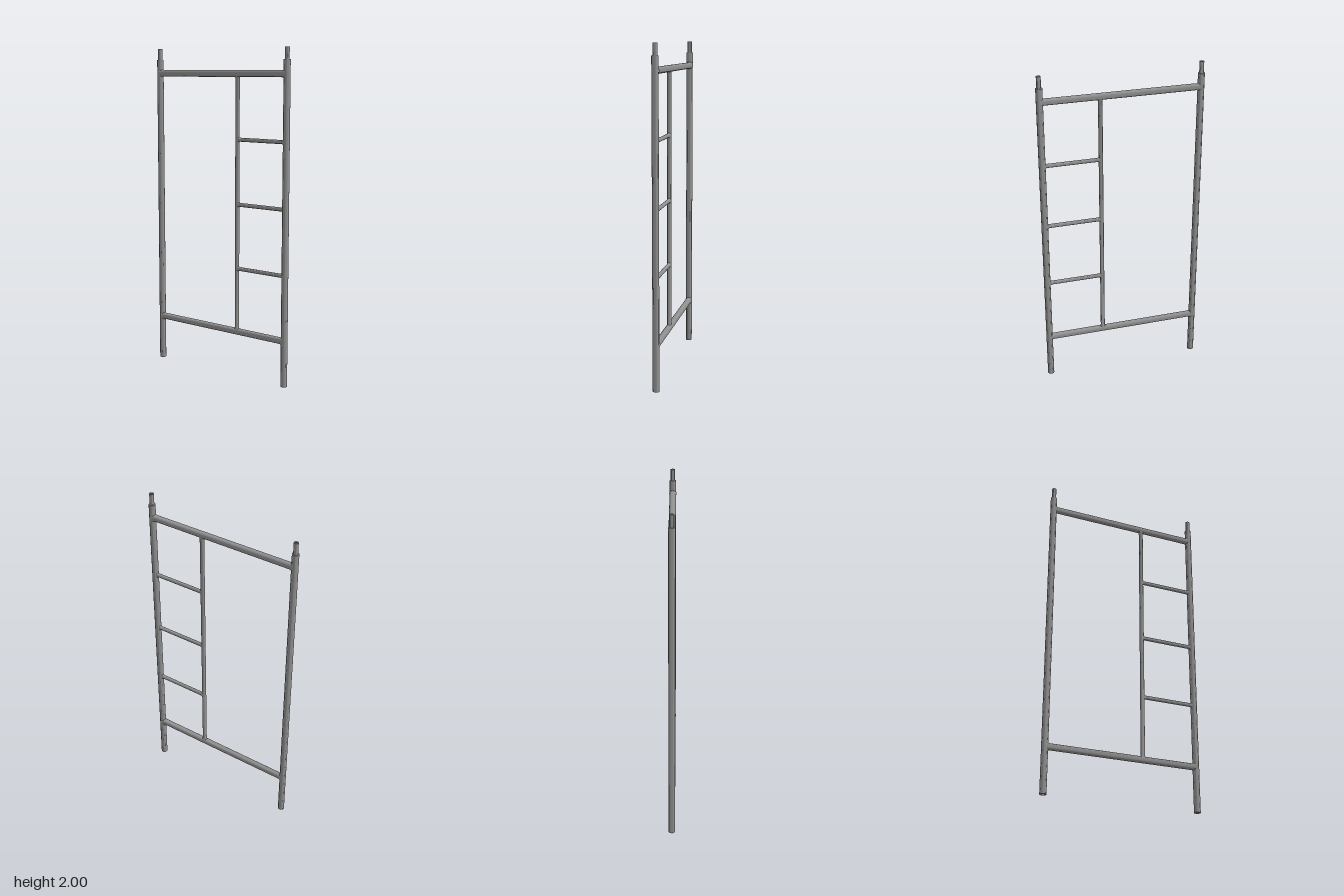
import * as THREE from 'three';
import { toCreasedNormals } from 'three/addons/utils/BufferGeometryUtils.js';

const material = new THREE.MeshStandardMaterial({ color: 0x909090 });
const POST_Z = 0.48, POST_R = 0.02, RAIL_R = 0.02, THIN_R = 0.013;
const RAIL_TOP = 1.848, RAIL_LOW = 0.278, INNER_Z = 0.129;

const lathe = (points, segments) =>
  new THREE.LatheGeometry(points.map(([r, y]) => new THREE.Vector2(r, y)), segments);

function addMesh(group, name, geometry) {
  const mesh = new THREE.Mesh(toCreasedNormals(geometry, 0.7), material);
  mesh.name = name;
  group.add(mesh);
  return mesh;
}

// Bar along local y between two host axes, its ends coped to the round
// hosts (radii hostA below, hostB above) and flared into a weld bead.
function weldedBar(r, length, hostA, hostB) {
  const weld = [[r + 0.003, 0], [r + 0.0015, 0.003], [r, 0.008]];
  const points = [
    ...weld.map(([x, d]) => [x, d - 1]),
    ...weld.map(([x, d]) => [x, 1 - d]).reverse(),
  ];
  const geometry = lathe(points, 24);
  const p = geometry.attributes.position;
  for (let i = 0; i < p.count; i++) {
    const side = Math.sign(p.getY(i));
    const fromEnd = 1 - Math.abs(p.getY(i));
    const host = side < 0 ? hostA : hostB;
    const saddle = Math.sqrt(Math.max(0, host * host - p.getX(i) ** 2));
    p.setY(i, side * (length / 2 - saddle - fromEnd));
  }
  geometry.computeVertexNormals();
  return geometry;
}

// Horizontal bar between z0 and z1
function addCrossBar(group, name, r, y, z0, z1, host0, host1) {
  const bar = addMesh(group, name, weldedBar(r, z1 - z0, host0, host1));
  bar.rotation.x = Math.PI / 2;
  bar.position.set(0, y, (z0 + z1) / 2);
}

export function createModel() {
  const group = new THREE.Group();
  group.name = 'scaffoldFrame';

  // Hollow posts with a narrower coupling pin on top
  const postProfile = [
    [0.015, 0], [POST_R, 0], [POST_R, 1.93], [0.0135, 1.93],
    [0.0135, 2], [0.007, 2], [0.007, 1.9], [0.015, 1.9], [0.015, 0],
  ];
  for (const [name, z] of [['frontPost', POST_Z], ['backPost', -POST_Z]]) {
    addMesh(group, name, lathe(postProfile, 32)).position.z = z;
  }

  // Top and bottom rails
  addCrossBar(group, 'topRail', RAIL_R, RAIL_TOP, -POST_Z, POST_Z, POST_R, POST_R);
  addCrossBar(group, 'bottomRail', RAIL_R, RAIL_LOW, -POST_Z, POST_Z, POST_R, POST_R);

  // Thin upright carrying the ladder side
  const upright = addMesh(group, 'ladderUpright',
    weldedBar(THIN_R, RAIL_TOP - RAIL_LOW, RAIL_R, RAIL_R));
  upright.position.set(0, (RAIL_TOP + RAIL_LOW) / 2, INNER_Z);

  // Ladder rungs
  [0.673, 1.067, 1.459].forEach((y, i) =>
    addCrossBar(group, `rung${i + 1}`, 0.012, y, INNER_Z, POST_Z, THIN_R, POST_R));

  return group;
}
